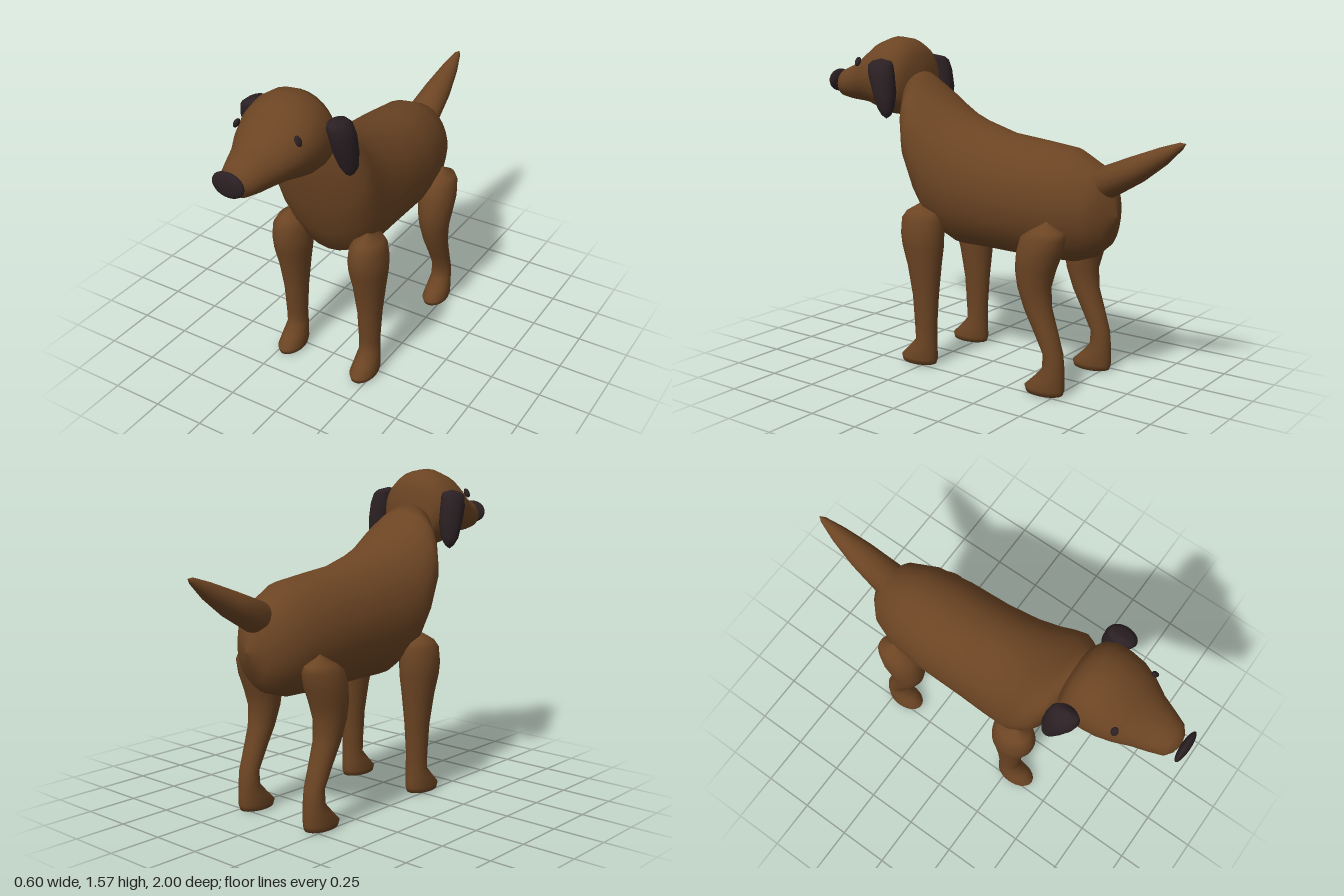
import * as THREE from 'three';

const coat = new THREE.MeshStandardMaterial({ color: 0x6b4423 });
coat.name = 'brown coat';
const dark = new THREE.MeshStandardMaterial({ color: 0x2b2023 });
dark.name = 'dark brown';

// Smooth skin over elliptical rings. Each ring is
// [z1, y1, z2, y2, halfWidth]: two opposite points in the side plane and the half width in x.
function loft(name, material, rings, cx = 0, sides = 28) {
  const pos = [], index = [];
  rings.forEach(([z1, y1, z2, y2, w, dx = 0]) => {
    for (let j = 0; j < sides; j++) {
      const t = (j / sides) * Math.PI * 2, s = Math.sin(t) / 2;
      pos.push(cx + dx + w * Math.cos(t), (y1 + y2) / 2 + (y2 - y1) * s, (z1 + z2) / 2 + (z2 - z1) * s);
    }
  });
  for (let i = 0; i < rings.length - 1; i++) {
    for (let j = 0; j < sides; j++) {
      const k = (j + 1) % sides;
      const a = i * sides + j, b = i * sides + k, c = a + sides, d = b + sides;
      index.push(a, b, c, b, d, c);
    }
  }
  const g = new THREE.BufferGeometry();
  g.setAttribute('position', new THREE.Float32BufferAttribute(pos, 3));
  g.setIndex(index);
  g.computeVertexNormals();
  const mesh = new THREE.Mesh(g, material);
  mesh.name = name;
  return mesh;
}

// Horizontal rings for legs and ears: [y, zBack, zFront, halfWidth, xShift]
const level = ([y, zb, zf, w, dx = 0]) => [zb, y, zf, y, w, dx];

function ellipsoid(name, x, y, z, rx, ry, rz) {
  const mesh = new THREE.Mesh(new THREE.SphereGeometry(1, 24, 16), dark);
  mesh.scale.set(rx, ry, rz);
  mesh.position.set(x, y, z);
  mesh.name = name;
  return mesh;
}

export function createModel() {
  const dog = new THREE.Group();
  dog.name = 'dog';

  // Torso sweeping up into the neck
  dog.add(loft('body', coat, [
    [-0.68, 0.82, -0.68, 0.82, 0],
    [-0.64, 0.68, -0.645, 0.97, 0.1],
    [-0.57, 0.62, -0.59, 1.04, 0.165],
    [-0.48, 0.59, -0.45, 1.11, 0.21],
    [-0.28, 0.585, -0.28, 1.13, 0.235],
    [0, 0.59, -0.1, 1.15, 0.24],
    [0.15, 0.59, 0.07, 1.2, 0.25],
    [0.28, 0.65, 0.17, 1.24, 0.262],
    [0.35, 0.78, 0.24, 1.28, 0.262],
    [0.4, 0.92, 0.31, 1.325, 0.25],
    [0.44, 1.08, 0.37, 1.37, 0.2],
    [0.455, 1.2, 0.42, 1.41, 0.14],
    [0.46, 1.31, 0.46, 1.31, 0],
  ]));

  // Head tapering into the muzzle
  dog.add(loft('head', coat, [
    [0.42, 1.37, 0.42, 1.37, 0],
    [0.43, 1.22, 0.43, 1.49, 0.135],
    [0.465, 1.195, 0.465, 1.545, 0.175],
    [0.52, 1.19, 0.51, 1.568, 0.193],
    [0.58, 1.193, 0.58, 1.575, 0.195],
    [0.65, 1.215, 0.65, 1.55, 0.188],
    [0.72, 1.237, 0.72, 1.5, 0.165],
    [0.79, 1.244, 0.79, 1.45, 0.13],
    [0.86, 1.248, 0.86, 1.423, 0.105],
    [0.925, 1.258, 0.92, 1.4, 0.08],
    [0.95, 1.29, 0.948, 1.365, 0.045],
    [0.96, 1.33, 0.96, 1.33, 0],
  ]));
  dog.add(ellipsoid('nose', 0, 1.34, 0.978, 0.078, 0.057, 0.021));

  // Tail, from tip to root
  dog.add(loft('tail', coat, [
    [-1, 1.175, -1, 1.175, 0],
    [-0.985, 1.15, -0.97, 1.178, 0.016],
    [-0.91, 1.075, -0.88, 1.15, 0.042],
    [-0.8, 0.99, -0.74, 1.097, 0.068],
    [-0.65, 0.9, -0.585, 1.035, 0.086],
    [-0.6, 0.96, -0.6, 0.96, 0],
  ]));

  const frontLeg = [
    [0.805, 0.28, 0.28, 0], [0.765, 0.18, 0.35, 0.062], [0.73, 0.16, 0.375, 0.082],
    [0.66, 0.155, 0.378, 0.092], [0.6, 0.157, 0.37, 0.089], [0.5, 0.17, 0.342, 0.075],
    [0.35, 0.185, 0.317, 0.058], [0.2, 0.195, 0.308, 0.05], [0.13, 0.196, 0.302, 0.052],
    [0.08, 0.195, 0.35, 0.059], [0.035, 0.192, 0.396, 0.064], [0.01, 0.2, 0.39, 0.058],
    [0.005, 0.29, 0.29, 0],
  ].map(level);
  const hindLeg = [
    [0.805, -0.44, -0.44, 0], [0.76, -0.52, -0.36, 0.062], [0.73, -0.53, -0.315, 0.082],
    [0.66, -0.512, -0.295, 0.092], [0.58, -0.48, -0.288, 0.086], [0.5, -0.457, -0.3, 0.075],
    [0.4, -0.465, -0.335, 0.063], [0.3, -0.498, -0.386, 0.054], [0.2, -0.527, -0.438, 0.05],
    [0.13, -0.535, -0.432, 0.052], [0.08, -0.536, -0.385, 0.059], [0.035, -0.538, -0.337, 0.064],
    [0.01, -0.53, -0.345, 0.058], [0.005, -0.44, -0.44, 0],
  ].map(level);
  const ear = [
    [1.48, 0.52, 0.52, 0, 0.2], [1.468, 0.455, 0.565, 0.035, 0.205],
    [1.45, 0.439, 0.578, 0.048, 0.215], [1.4, 0.428, 0.565, 0.055, 0.223],
    [1.32, 0.42, 0.535, 0.055, 0.226], [1.25, 0.425, 0.505, 0.043, 0.232],
    [1.215, 0.435, 0.485, 0.02, 0.235], [1.198, 0.46, 0.46, 0, 0.235],
  ].map(level);

  // Paired parts
  for (const [side, s] of [['left', 1], ['right', -1]]) {
    dog.add(loft(side + 'FrontLeg', coat, frontLeg, s * 0.21));
    dog.add(loft(side + 'HindLeg', coat, hindLeg, s * 0.21));
    const mirrored = ear.map((r) => [...r.slice(0, 5), r[5] * s]);
    dog.add(loft(side + 'Ear', dark, mirrored));
    const eye = ellipsoid(side + 'Eye', s * 0.152, 1.454, 0.712, 0.012, 0.024, 0.016);
    eye.rotation.z = -s * 0.0 + s * 0.5;
    dog.add(eye);
  }
  return dog;
}
